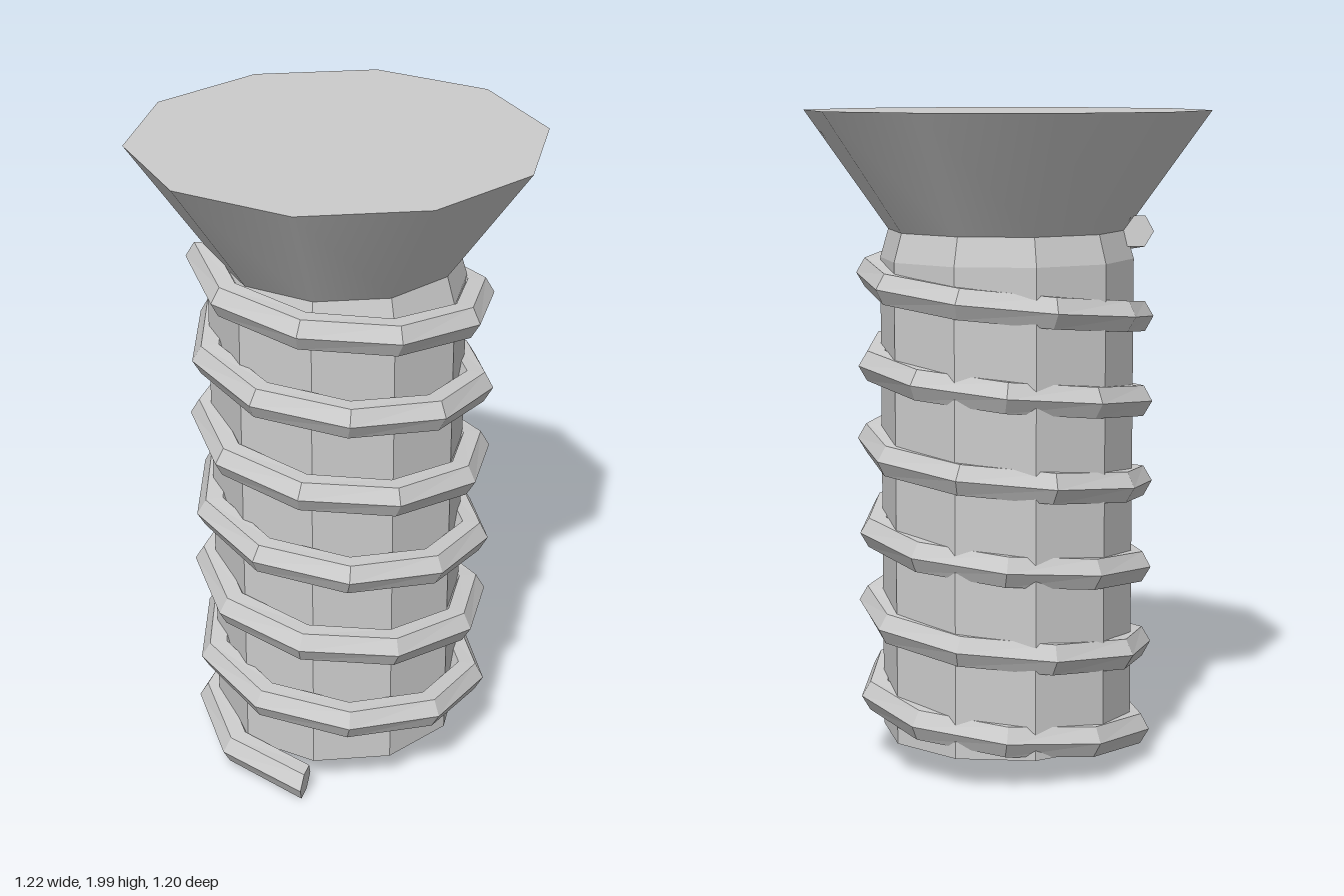
import * as THREE from 'three';

const SIDES = 10;
const TURN = THREE.MathUtils.degToRad(11.8);

function material(flatShading) {
  return new THREE.MeshStandardMaterial({ color: 0xcccccc, flatShading, side: THREE.DoubleSide });
}

// Ten-sided turned part from a [radius, height] profile, listed bottom to top
function turned(name, profile, flat) {
  const points = profile.map(([r, y]) => new THREE.Vector2(r, y));
  const mesh = new THREE.Mesh(new THREE.LatheGeometry(points, SIDES, TURN), material(flat));
  mesh.name = name;
  return mesh;
}

// Hexagonal bar wound in a coarse helix, with closed ends
function helixGeometry({ cx, cz, radius, barRadius, startY, pitch, startAngle, step, segments }) {
  const positions = [];
  const index = [];
  const n = 6;
  const slope = Math.atan2(pitch, 2 * Math.PI * radius);
  for (let i = 0; i <= segments; i++) {
    const angle = startAngle - i * step;
    const radial = new THREE.Vector3(Math.sin(angle), 0, Math.cos(angle));
    const forward = new THREE.Vector3(-Math.cos(angle), 0, Math.sin(angle));
    const up = new THREE.Vector3(0, Math.cos(slope), 0).addScaledVector(forward, -Math.sin(slope));
    const centre = new THREE.Vector3(cx, startY + pitch * i * step / (2 * Math.PI), cz)
      .addScaledVector(radial, radius);
    for (let j = 0; j < n; j++) {
      const a = j / n * Math.PI * 2;
      const p = centre.clone()
        .addScaledVector(radial, barRadius * Math.cos(a))
        .addScaledVector(up, barRadius * Math.sin(a));
      positions.push(p.x, p.y, p.z);
    }
  }
  for (let i = 0; i < segments; i++) {
    for (let j = 0; j < n; j++) {
      const a = i * n + j;
      const b = i * n + (j + 1) % n;
      index.push(a, b, a + n, b, b + n, a + n);
    }
  }
  const last = segments * n;
  for (let j = 1; j < n - 1; j++) {
    index.push(0, j + 1, j);
    index.push(last, last + j, last + j + 1);
  }
  const geometry = new THREE.BufferGeometry();
  geometry.setAttribute('position', new THREE.Float32BufferAttribute(positions, 3));
  geometry.setIndex(index);
  geometry.computeVertexNormals();
  return geometry;
}

export function createModel() {
  const model = new THREE.Group();
  model.name = 'screw';

  // Hollow shaft, open at the bottom and drawn in under the head
  model.add(turned('shaft', [[0.383, 0.105], [0.383, 1.56], [0.358, 1.645]], true));

  // Countersunk head with a flat top
  model.add(turned('headCone', [[0.358, 1.645], [0.612, 2]], false));
  model.add(turned('headTop', [[0.612, 2], [0, 2]], true));

  // Thread, set slightly off the shaft axis
  const thread = new THREE.Mesh(helixGeometry({
    cx: -0.02, cz: 0.032, radius: 0.402, barRadius: 0.053,
    startY: 0.06, pitch: 0.255,
    startAngle: THREE.MathUtils.degToRad(-65),
    step: 2 * Math.PI / 9.5, segments: 59,
  }), material(true));
  thread.name = 'thread';
  model.add(thread);

  return model;
}
